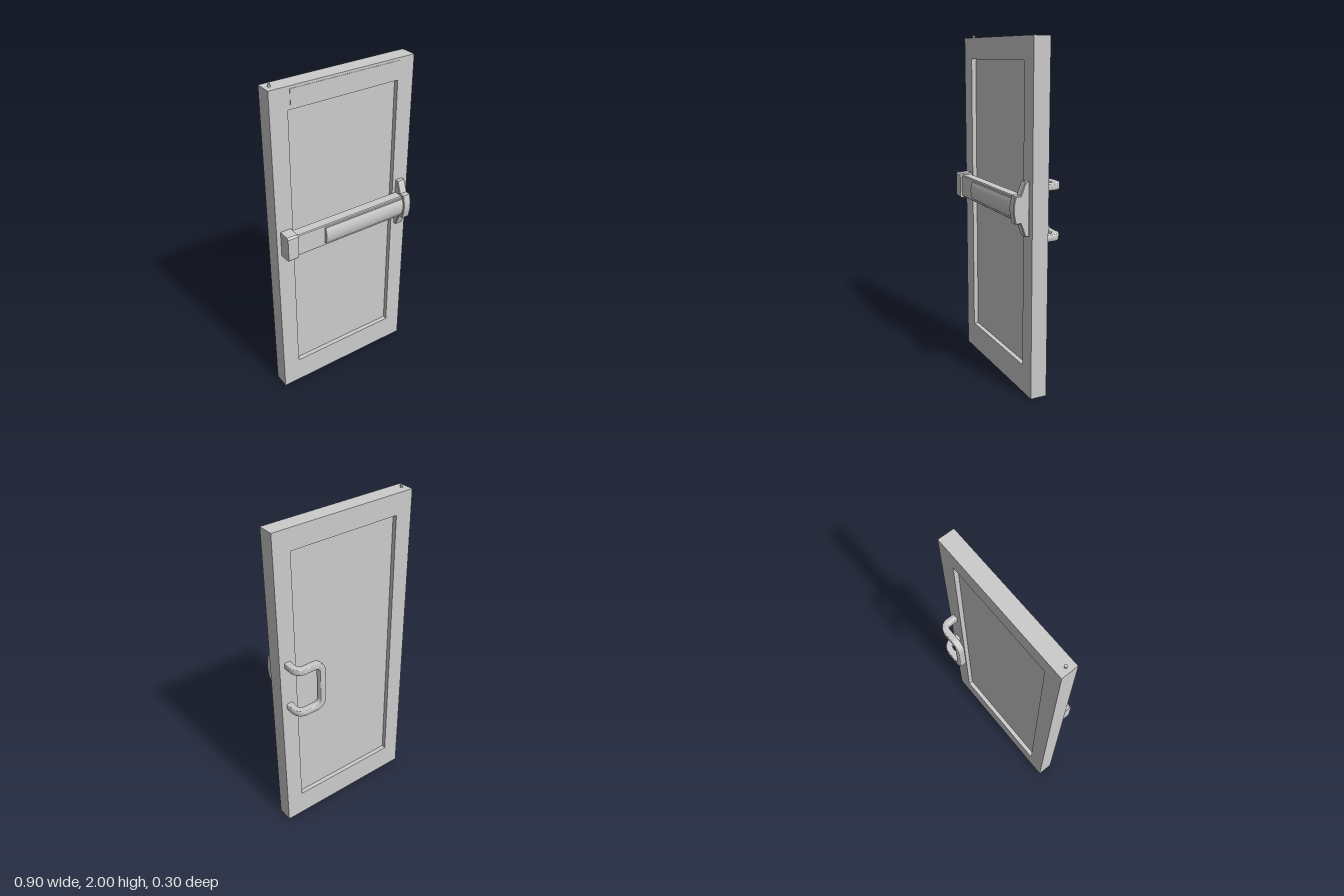
import * as THREE from 'three';
import { toCreasedNormals } from 'three/addons/utils/BufferGeometryUtils.js';

const grey = new THREE.MeshStandardMaterial({ color: 0xcccccc });
const V = (x, y, z) => new THREE.Vector3(x, y, z);

export function createModel() {
  const model = new THREE.Group();

  const add = (name, geometry, x = 0, y = 0, z = 0) => {
    const mesh = new THREE.Mesh(geometry, grey);
    mesh.name = name;
    mesh.position.set(x, y, z);
    model.add(mesh);
  };

  // Box given by its limits on each axis
  const addBox = (name, [x0, x1], [y0, y1], [z0, z1]) =>
    add(name, new THREE.BoxGeometry(x1 - x0, y1 - y0, z1 - z0),
      (x0 + x1) / 2, (y0 + y1) / 2, (z0 + z1) / 2);

  // Side profile of [z, y] points, extruded from x0 to x1
  const addProfile = (name, points, x0, x1, bevel = 0) => {
    const shape = new THREE.Shape(points.map(([z, y]) => new THREE.Vector2(-z, y)));
    const geometry = new THREE.ExtrudeGeometry(shape, {
      depth: x1 - x0 - 2 * bevel, bevelEnabled: bevel > 0, bevelSize: bevel,
      bevelThickness: bevel, bevelOffset: -bevel, bevelSegments: 1,
    });
    geometry.rotateY(Math.PI / 2);
    add(name, toCreasedNormals(geometry, 0.4), x0 + bevel);
  };

  // Box profile with chamfered front edges
  const chamfered = (z0, z1, y0, y1, c) => [
    [z0, y0], [z1 - c, y0], [z1, y0 + c], [z1, y1 - c], [z1 - c, y1], [z0, y1],
  ];

  // Door frame with a recessed panel
  const frame = new THREE.Shape([[-0.45, 0], [0.45, 0], [0.45, 1.985], [-0.45, 1.985]]
    .map(p => new THREE.Vector2(...p)));
  frame.holes.push(new THREE.Path([[-0.345, 0.165], [-0.345, 1.86], [0.345, 1.86], [0.345, 0.165]]
    .map(p => new THREE.Vector2(...p))));
  add('doorFrame', new THREE.ExtrudeGeometry(frame, { depth: 0.097, bevelEnabled: false }), 0, 0, -0.04);
  addBox('doorPanel', [-0.345, 0.345], [0.165, 1.86], [-0.013, 0.03]);

  // Thin plate near the top and the pivot pin
  addBox('topPlate', [-0.33, 0.36], [1.88, 1.97], [0.056, 0.059]);
  add('pivotPin', new THREE.CylinderGeometry(0.008, 0.008, 0.03, 16), -0.418, 1.985, 0.01);

  // Push bar: hinge-side cap, rail, curved pad and latch housing
  addProfile('hingeSideCap', chamfered(0.057, 0.136, 1.01, 1.165, 0.01), -0.425, -0.36);
  addProfile('rail', chamfered(0.065, 0.124, 1.02, 1.155, 0.005), -0.37, 0.37);
  const pad = [[0.12, 1.14], [0.12, 1.038]];
  for (let i = 0; i <= 16; i++) {
    const t = i / 8 - 1;
    pad.push([0.143 - 0.011 * t * t, 1.089 + 0.051 * t]);
  }
  addProfile('pushPad', pad, -0.18, 0.362);
  addProfile('latchHousing', [
    [0.057, 0.935], [0.08, 0.935], [0.108, 1.01], [0.138, 1.01], [0.149, 1.06],
    [0.151, 1.087], [0.149, 1.114], [0.138, 1.163], [0.108, 1.163], [0.08, 1.235], [0.057, 1.235],
  ], 0.363, 0.415, 0.004);

  // Pull handle: two legs bent sideways, joined by an upright grip
  const corners = [
    V(0.398, 1.195, -0.03), V(0.398, 1.195, -0.132), V(0.242, 1.195, -0.132),
    V(0.242, 0.911, -0.132), V(0.398, 0.911, -0.132), V(0.398, 0.911, -0.03),
  ];
  const points = [corners[0]];
  for (let i = 1; i < corners.length - 1; i++) {
    const c = corners[i], r = 0.045;
    const toward = p => c.clone().add(p.clone().sub(c).setLength(r));
    const a = toward(corners[i - 1]), b = toward(corners[i + 1]);
    const centre = a.clone().add(b).sub(c);
    for (let k = 0; k <= 8; k++) {
      const t = (k / 8) * Math.PI / 2;
      points.push(centre.clone()
        .addScaledVector(a.clone().sub(centre), Math.cos(t))
        .addScaledVector(b.clone().sub(centre), Math.sin(t)));
    }
  }
  points.push(corners[corners.length - 1]);

  // Square bar section with rounded edges
  const section = new THREE.Shape();
  const h = 0.02, e = 0.007, q = Math.PI / 2;
  [[1, 1], [-1, 1], [-1, -1], [1, -1]].forEach(([sx, sy], i) =>
    section.absarc(sx * (h - e), sy * (h - e), e, i * q, (i + 1) * q, false));
  const handle = new THREE.ExtrudeGeometry(section, {
    steps: 120, curveSegments: 3, extrudePath: new THREE.CatmullRomCurve3(points),
  });
  add('pullHandle', toCreasedNormals(handle, 0.7));

  return model;
}
